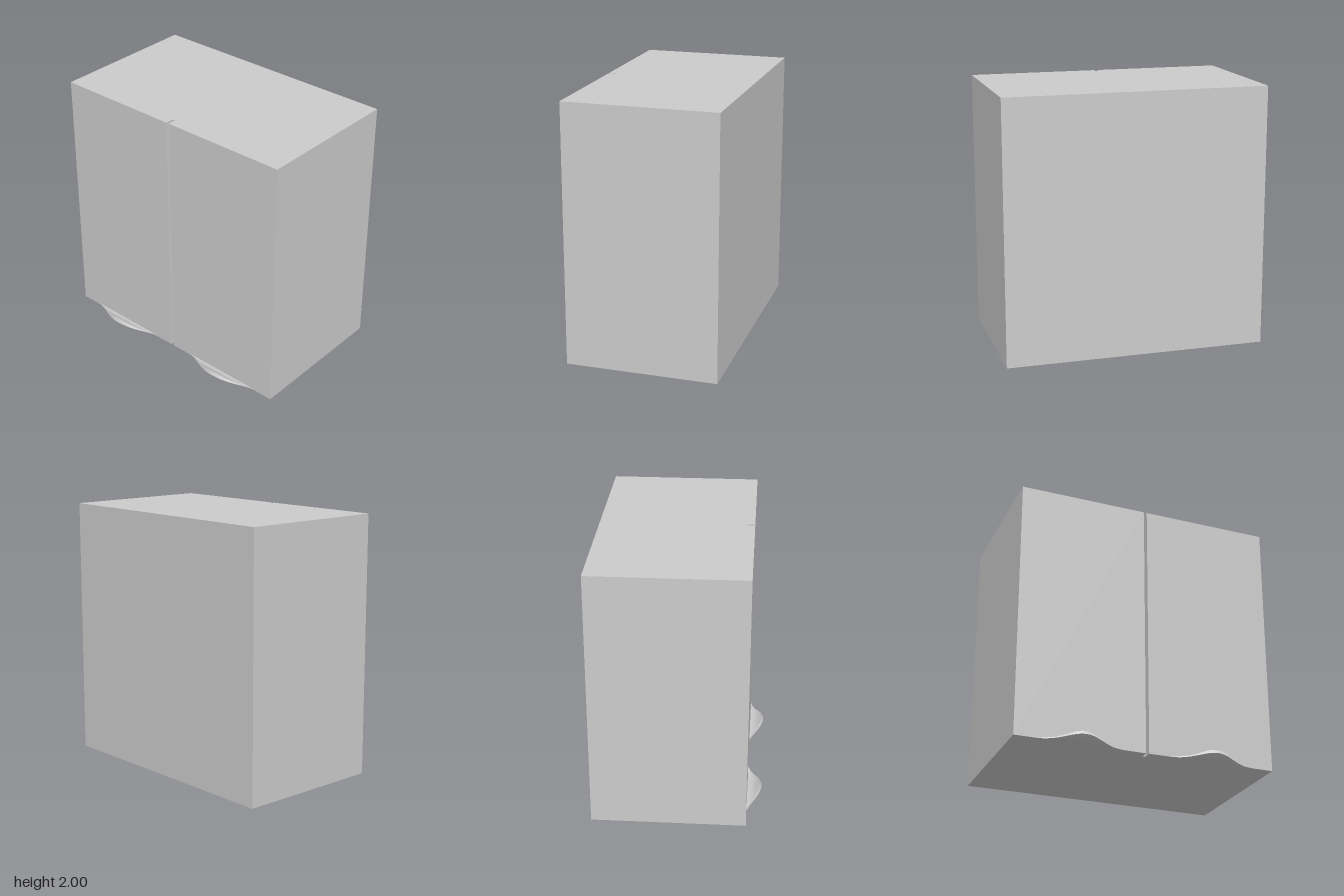
import * as THREE from 'three';
import { toCreasedNormals } from 'three/addons/utils/BufferGeometryUtils.js';

const BACK = -0.635, CARCASS = 0.46, FRONT = 0.525, T = 0.05, GAP = 0.012;

// Curled finger pull: bell-shaped in plan, sweeping upward as it leaves the door
function pullGeometry() {
  const halfWidth = 0.34, reach = 0.11, nx = 48, nu = 8;
  const pos = [], index = [], row = 2 * (nu + 1);
  for (let i = 0; i <= nx; i++) {
    const x = halfWidth * (2 * i / nx - 1);
    const s = 0.5 * (1 + Math.cos(Math.PI * x / halfWidth));
    for (let j = 0; j <= nu; j++) { // underside, outward
      const t = s * j / nu;
      pos.push(x, 0.036 * t * t, reach * t);
    }
    for (let j = nu; j >= 0; j--) { // upper side, inward
      const t = s * j / nu;
      pos.push(x, 0.008 + 0.056 * t * t, reach * 0.86 * t);
    }
  }
  for (let i = 0; i < nx; i++) {
    for (let j = 0; j < row - 1; j++) {
      const a = i * row + j, b = a + row;
      index.push(a, b, a + 1, b, b + 1, a + 1);
    }
  }
  const g = new THREE.BufferGeometry();
  g.setAttribute('position', new THREE.Float32BufferAttribute(pos, 3));
  g.setIndex(index);
  return toCreasedNormals(g, 0.6);
}

export function createModel() {
  const model = new THREE.Group();
  model.name = 'cabinet';
  const material = new THREE.MeshStandardMaterial({ color: 0xcccccc });

  const panel = (name, x0, x1, y0, y1, z0, z1) => {
    const mesh = new THREE.Mesh(new THREE.BoxGeometry(x1 - x0, y1 - y0, z1 - z0), material);
    mesh.position.set((x0 + x1) / 2, (y0 + y1) / 2, (z0 + z1) / 2);
    mesh.name = name;
    model.add(mesh);
  };

  // Hollow carcass
  panel('leftSide', 1 - T, 1, 0, 2, BACK, CARCASS);
  panel('rightSide', -1, -1 + T, 0, 2, BACK, CARCASS);
  panel('topPanel', -1 + T, 1 - T, 2 - T, 2, BACK, CARCASS);
  panel('bottomPanel', -1 + T, 1 - T, 0, T, BACK, CARCASS);
  panel('backPanel', -1 + T, 1 - T, T, 2 - T, BACK, BACK + T);

  // Pair of doors with a narrow gap between them
  panel('leftDoor', GAP, 1, 0, 2, CARCASS, FRONT);
  panel('rightDoor', -1, -GAP, 0, 2, CARCASS, FRONT);

  // Finger pulls at the foot of each door
  const pull = pullGeometry();
  for (const [name, x] of [['leftPull', 0.506], ['rightPull', -0.506]]) {
    const mesh = new THREE.Mesh(pull, material);
    mesh.position.set(x, 0, FRONT);
    mesh.name = name;
    model.add(mesh);
  }
  return model;
}
